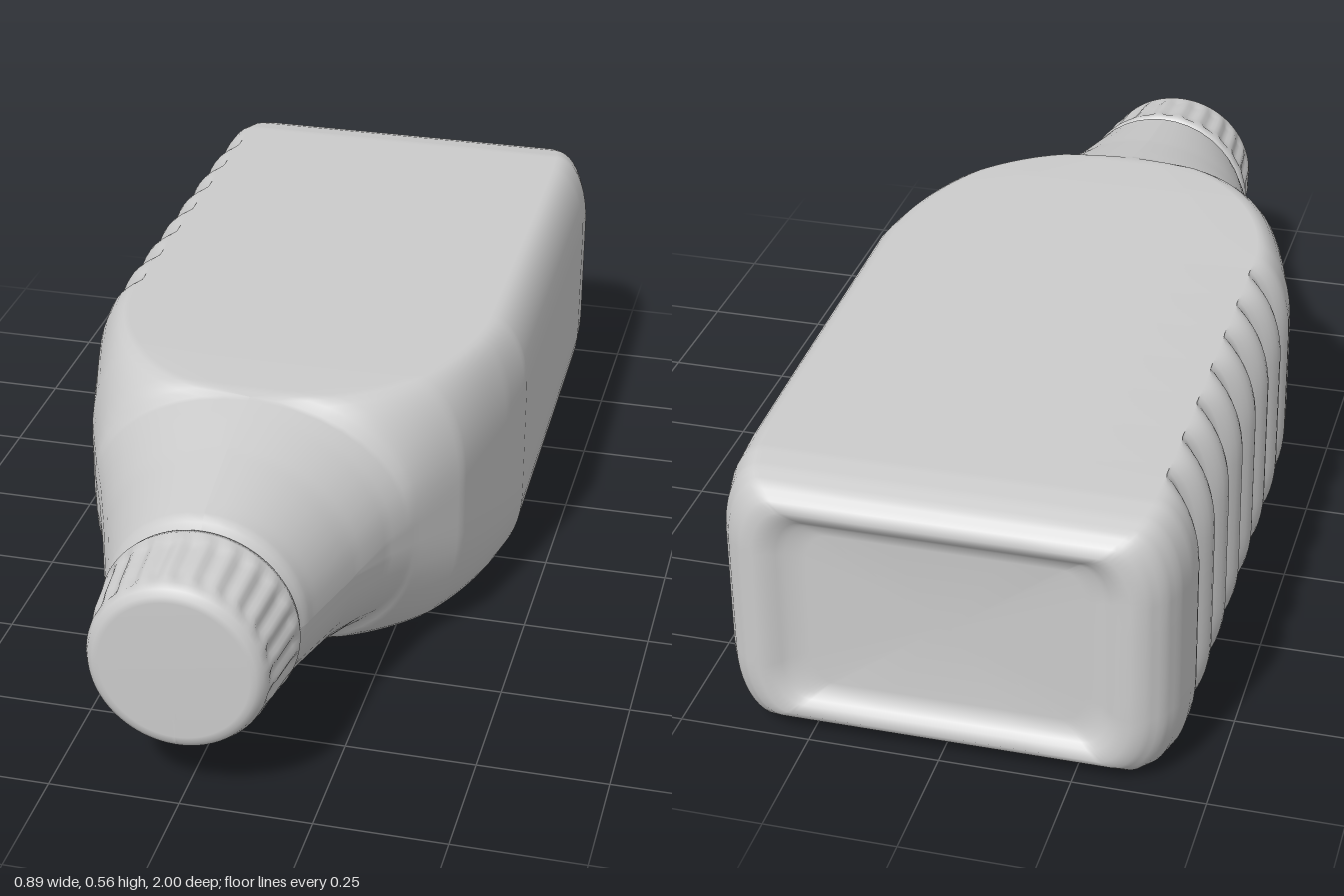
import * as THREE from 'three';

const CORNER = 10; // steps per rounded corner
const FLAT = 4; // steps per flat stretch

// Base from its middle outwards: z, inset from the body wall
const BASE = [
  [-0.966, 0.42], [-0.966, 0.175], [-0.975, 0.14], [-0.992, 0.11], [-1, 0.085],
  [-0.99, 0.06], [-0.965, 0.03], [-0.93, 0.012],
];

// Body extents along z: z, xMin, xMax, yMin, yMax
const BODY = [
  [-0.88, -0.442, 0.424, 0.002, 0.548],
  [-0.8, -0.445, 0.43, 0.003, 0.549],
  [0.0, -0.445, 0.445, 0.01, 0.555],
  [0.1, -0.432, 0.428, 0.011, 0.556],
  [0.3, -0.382, 0.376, 0.013, 0.558],
  [0.42, -0.337, 0.312, 0.016, 0.556],
  [0.5, -0.303, 0.272, 0.035, 0.54],
  [0.6, -0.265, 0.236, 0.058, 0.519],
  [0.76, -0.209, 0.193, 0.084, 0.491],
  [0.79, -0.197, 0.187, 0.09, 0.486],
  [0.81, -0.185, 0.178, 0.102, 0.472],
  [0.85, -0.17, 0.165, 0.115, 0.455],
];

// Sections of the base, inset from the first body section
function baseSections() {
  const [, x0, x1, y0, y1] = BODY[0];
  return BASE.map(([z, d]) => [z, x0 + d, x1 - d, y0 + 0.64 * d, y1 - 0.64 * d]);
}

// Insert extra sections so no step along z is longer than maxStep
function refine(rows, maxStep) {
  const out = [rows[0]];
  for (let i = 1; i < rows.length; i++) {
    const a = rows[i - 1], b = rows[i];
    const n = Math.max(1, Math.ceil(Math.abs(b[0] - a[0]) / maxStep));
    for (let k = 1; k <= n; k++) out.push(a.map((v, j) => v + (b[j] - v) * k / n));
  }
  return out;
}

// Finger-grip depth: seven narrow notches between rounded ridges
function gripDepth(z) {
  const pitch = 0.127, first = -0.782;
  if (z < first - pitch / 2 || z > first + 6.5 * pitch) return 0;
  return 0.042 * (1 - Math.abs(Math.sin(Math.PI * (z - first) / pitch)));
}

// One closed ring: rounded rectangle with elliptical corners.
// Its flat stretches shrink over the shoulder, so the panels end in a round arch.
function ring([z, x0, x1, y0, y1]) {
  const cx = (x0 + x1) / 2, cy = (y0 + y1) / 2;
  const w = (x1 - x0) / 2, h = (y1 - y0) / 2;
  const t = Math.max(0, z);
  const fx = Math.min(0.365 * Math.sqrt(Math.max(0, 1 - (t / 0.44) ** 2)), w * 0.83);
  const fy = Math.min(0.12 * Math.max(0, 1 - t / 0.62), h * 0.6);
  const corners = [];
  for (let q = 0; q < 4; q++) {
    const sx = q === 0 || q === 3 ? 1 : -1, sy = q < 2 ? 1 : -1;
    for (let k = 0; k <= CORNER; k++) {
      const a = (q + k / CORNER) * Math.PI / 2;
      const c = Math.cos(a), s = Math.sin(a);
      const grip = gripDepth(z) * Math.sqrt(Math.max(0, -c));
      corners.push([cx + sx * fx + (w - fx) * c + grip, cy + sy * fy + (h - fy) * s, z]);
    }
  }
  const pts = [];
  corners.forEach((p, i) => {
    pts.push(p);
    if (i % (CORNER + 1) !== CORNER) return;
    const n = corners[(i + 1) % corners.length];
    for (let k = 1; k < FLAT; k++) pts.push(p.map((v, j) => v + (n[j] - v) * k / FLAT));
  });
  return pts;
}

// Skin the rings into one smooth surface
function loft(rings) {
  const n = rings[0].length, index = [];
  for (let i = 0; i < rings.length - 1; i++) {
    for (let j = 0; j < n; j++) {
      const a = i * n + j, b = i * n + (j + 1) % n;
      index.push(a, b, a + n, b, b + n, a + n);
    }
  }
  // close the small hole at the middle of the base
  for (let j = 1; j < n - 1; j++) index.push(0, j + 1, j);
  const g = new THREE.BufferGeometry();
  g.setAttribute('position', new THREE.Float32BufferAttribute(rings.flat(2), 3));
  g.setIndex(index);
  g.computeVertexNormals();
  return g;
}

// Screw cap: lathe profile with ribs pressed into its side
function capGeometry() {
  const profile = [
    [0.165, 0.815], [0.186, 0.82], [0.19, 0.835], [0.187, 0.855], [0.184, 0.875],
    [0.181, 0.905], [0.178, 0.935], [0.174, 0.955], [0.17, 0.975], [0.163, 0.99],
    [0.152, 0.998], [0.14, 1.0], [0, 1.0],
  ].map(([r, h]) => new THREE.Vector2(r, h));
  const g = new THREE.LatheGeometry(profile, 144);
  const p = g.attributes.position;
  for (let i = 0; i < p.count; i++) {
    const h = p.getY(i), a = Math.atan2(p.getZ(i), p.getX(i));
    const depth = h > 0.85 && h < 0.96 ? 0.022 : 0;
    const s = 1 - depth * (1 + Math.cos(24 * a));
    p.setX(i, p.getX(i) * s);
    p.setZ(i, p.getZ(i) * s);
  }
  g.computeVertexNormals();
  return g.rotateX(Math.PI / 2);
}

export function createModel() {
  const model = new THREE.Group();
  model.name = 'bottle';
  const material = new THREE.MeshStandardMaterial({ color: 0xcccccc });

  const sections = refine([...baseSections(), ...BODY], 0.0125);
  const body = new THREE.Mesh(loft(sections.map(ring)), material);
  body.name = 'bottleBody';

  const cap = new THREE.Mesh(capGeometry(), material);
  cap.name = 'ribbedCap';
  cap.position.set(-0.004, 0.287, 0);

  model.add(body, cap);
  return model;
}
